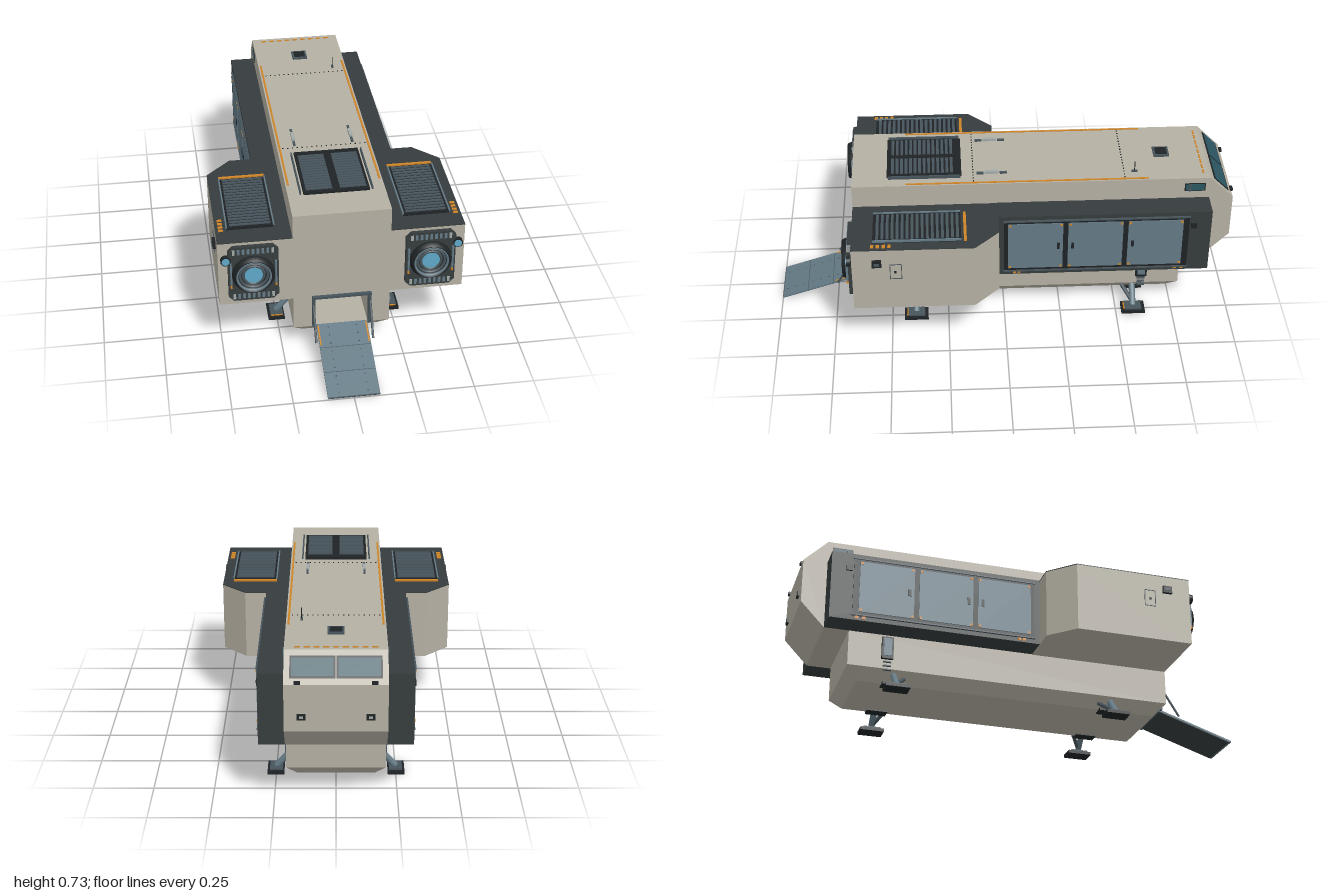
import * as THREE from 'three';

const mat = (name, color, side = THREE.FrontSide) => {
  const m = new THREE.MeshStandardMaterial({ color, side });
  m.name = name;
  return m;
};
const M = {
  hull: mat('warm grey hull', 0xb5b0a3),
  dark: mat('charcoal', 0x363c3d),
  black: mat('black metal', 0x1e2325, THREE.DoubleSide),
  slate: mat('slate blue metal', 0x647a85),
  steel: mat('dark steel', 0x47545b),
  pale: mat('pale metal', 0xa3aaa8),
  orange: mat('orange marking', 0xcf8426),
  glow: mat('blue glow', 0x5fa8c8),
  glass: mat('teal glass', 0x2c5762),
};
const V = (x, y, z) => new THREE.Vector3(x, y, z);

export function createModel() {
  const root = new THREE.Group();
  root.name = 'dropship';
  const add = (name, geo, m, parent = root) => {
    const mesh = new THREE.Mesh(geo, m);
    mesh.name = name;
    parent.add(mesh);
    return mesh;
  };
  const box = (name, m, w, h, d, x, y, z, parent) => {
    const mesh = add(name, new THREE.BoxGeometry(w, h, d), m, parent);
    mesh.position.set(x, y, z);
    return mesh;
  };
  const rod = (name, m, a, b, r, sides = 8) => {
    const mesh = add(name, new THREE.CylinderGeometry(r, r, a.distanceTo(b), sides), m);
    mesh.position.copy(a).lerp(b, 0.5);
    mesh.quaternion.setFromUnitVectors(V(0, 1, 0), b.clone().sub(a).normalize());
    return mesh;
  };
  const disc = (name, m, r, d, x, y, z, sides = 24) => {
    const geo = new THREE.CylinderGeometry(r, r, d, sides).rotateX(Math.PI / 2);
    add(name, geo, m).position.set(x, y, z);
  };
  const extrude = (pts, depth) => new THREE.ExtrudeGeometry(
    new THREE.Shape(pts.map(([x, y]) => new THREE.Vector2(x, y))), { depth, bevelEnabled: false });
  // Upright slab from a plan outline of [x, z] points
  const slab = (name, m, plan, y, h) =>
    add(name, extrude(plan.map(([x, z]) => [x, -z]), h).rotateX(-Math.PI / 2).translate(0, y, 0), m);

  // Upper hull with the bevelled nose, from its side outline
  const side = [[0.65, 0.267], [0.65, 0.675], [-0.887, 0.675], [-0.99, 0.572], [-0.99, 0.375], [-0.887, 0.267]];
  add('upperHull', extrude(side.map(([z, y]) => [-z, y]), 0.406).rotateY(Math.PI / 2).translate(-0.203, 0, 0), M.hull);

  // Lower hull with the doorway cut in the front, and the tapered belly
  slab('lowerHull', M.hull, [[-0.203, 0.65], [-0.203, -0.78], [0.203, -0.78], [0.203, 0.65],
    [0.112, 0.65], [0.112, 0.45], [-0.112, 0.45], [-0.112, 0.65]], 0.112, 0.156);
  const belly = new THREE.BoxGeometry(0.406, 0.05, 1.43);
  const p = belly.attributes.position;
  for (let i = 0; i < p.count; i++) {
    if (p.getY(i) < 0) p.setXYZ(i, p.getX(i) * 0.78, p.getY(i), p.getZ(i) * 0.93);
  }
  belly.computeVertexNormals();
  add('belly', belly, M.hull).position.set(0, 0.087, -0.065);

  // Doorway
  box('doorBackWall', M.dark, 0.222, 0.15, 0.006, 0, 0.19, 0.454);
  box('doorCeiling', M.dark, 0.222, 0.006, 0.2, 0, 0.262, 0.55);
  box('doorHeader', M.steel, 0.25, 0.01, 0.02, 0, 0.265, 0.655);
  for (const s of [1, -1]) box('doorPost', M.steel, 0.013, 0.15, 0.02, s * 0.118, 0.19, 0.655);

  // Ramp
  const ramp = new THREE.Group();
  ramp.name = 'ramp';
  ramp.position.set(0, 0.12, 0.652);
  ramp.rotation.x = Math.atan2(0.112, 0.346);
  root.add(ramp);
  for (let i = 0; i < 3; i++) {
    const z = 0.061 + i * 0.121;
    box('rampPanel', M.slate, 0.216, 0.008, 0.118, 0, 0, z, ramp);
    box('rampSeam', M.steel, 0.212, 0.006, 0.004, 0, 0, z + 0.0605, ramp);
    for (const s of [1, -1]) for (let k = -1; k < 2; k++)
      box('rampRivet', M.steel, 0.005, 0.002, 0.005, s * 0.06, 0.0045, z + k * 0.04, ramp);
  }
  box('rampUnderside', M.dark, 0.21, 0.003, 0.35, 0, -0.005, 0.182, ramp);
  box('rampMark', M.orange, 0.006, 0.003, 0.1, 0.102, 0.0045, 0.06, ramp);
  box('rampMark', M.orange, 0.006, 0.003, 0.1, -0.102, 0.0045, 0.06, ramp);

  for (const s of [1, -1]) {
    rod('rampStrut', M.steel, V(s * 0.12, 0.095, 0.745), V(s * 0.12, 0.235, 0.658), 0.005);

    // Landing legs
    for (const [z, lean] of [[0.393, -0.055], [-0.577, 0.05]]) {
      box('footPad', M.black, 0.07, 0.014, 0.105, s * 0.252, 0.008, z);
      box('footTop', M.steel, 0.055, 0.008, 0.075, s * 0.25, 0.018, z);
      box('footMark', M.orange, 0.05, 0.003, 0.006, s * 0.25, 0.0175, z + 0.04);
      rod('leg', M.slate, V(s * 0.25, 0.02, z), V(s * 0.165, 0.115, z), 0.014);
      rod('legBrace', M.steel, V(s * 0.24, 0.03, z), V(s * 0.17, 0.09, z + lean), 0.009);
      box('legMount', M.black, 0.05, 0.012, 0.09, s * 0.15, 0.062, z);
    }

    // Side cargo bay with three panels
    box('cargoBay', M.dark, 0.107, 0.308, 0.917, s * 0.2565, 0.421, -0.4275);
    box('bayFrame', M.black, 0.006, 0.26, 0.795, s * 0.311, 0.422, -0.393);
    for (let i = 0; i < 3; i++) {
      const z = -0.13 - i * 0.258;
      box('bayPanel', M.slate, 0.008, 0.235, 0.236, s * 0.314, 0.422, z);
      box('panelLatch', M.black, 0.006, 0.03, 0.012, s * 0.319, 0.422, z - 0.098 * (i ? -1 : 1));
      for (const a of [1, -1]) for (const b of [1, -1])
        box('panelCorner', M.orange, 0.004, 0.01, 0.01, s * 0.318, 0.422 + a * 0.11, z + b * 0.11);
    }
    for (const y of [0.553, 0.289]) box('bayRail', M.steel, 0.012, 0.006, 0.8, s * 0.313, y, -0.393);
    for (const z of [-0.04, -0.06, -0.74, -0.77]) box('bayMark', M.orange, 0.004, 0.012, 0.014, s * 0.311, 0.28, z);
    box('bayVent', M.black, 0.01, 0.025, 0.025, s * 0.312, 0.505, -0.81);

    // Engine pod
    const plan = [[0.2, 0.65], [0.51, 0.65], [0.51, 0.135], [0.405, 0.03], [0.2, 0.03]].map(([x, z]) => [s * x, z]);
    slab('enginePod', M.hull, plan, 0.265, 0.304);
    slab('podRoof', M.dark, plan, 0.569, 0.004);

    // Pod roof louvres
    const vx = s * 0.366;
    box('podVentBed', M.black, 0.196, 0.01, 0.37, vx, 0.577, 0.375);
    for (let i = 0; i < 17; i++) box('podLouvre', M.steel, 0.17, 0.006, 0.012, vx, 0.583, 0.205 + i * 0.021);
    for (const e of [1, -1]) box('podVentRail', M.slate, 0.006, 0.01, 0.37, vx + e * 0.097, 0.582, 0.375);
    box('podRoofMark', M.orange, 0.195, 0.008, 0.012, vx, 0.577, 0.173);
    for (let i = 0; i < 4; i++) box('podCornerMark', M.orange, 0.02, 0.004, 0.014, s * 0.488, 0.574, 0.49 + i * 0.024);

    // Pod side hatch and vent
    for (const z of [0.442, 0.49]) box('podHatchEdge', M.steel, 0.003, 0.075, 0.003, s * 0.511, 0.458, z);
    for (const y of [0.421, 0.495]) box('podHatchEdge', M.steel, 0.003, 0.003, 0.05, s * 0.511, y, 0.466);
    box('podHatchHandle', M.black, 0.005, 0.01, 0.01, s * 0.511, 0.455, 0.468);
    box('podSideVent', M.black, 0.016, 0.032, 0.04, s * 0.515, 0.505, 0.545);
    box('podSideVentCore', M.steel, 0.004, 0.014, 0.024, s * 0.524, 0.505, 0.545);

    // Engine plate, vents and nozzle
    const ex = s * 0.367, ey = 0.425;
    const w = 0.104, h = 0.132, c = 0.022;
    const plate = [[w, c - h], [w, h - c], [w - c, h], [c - w, h], [-w, h - c], [-w, c - h], [c - w, -h], [w - c, -h]];
    add('enginePlate', extrude(plate, 0.018), M.dark).position.set(ex, ey, 0.65);
    for (const e of [1, -1]) {
      for (let i = 0; i < 9; i++)
        box('engineSlot', i % 8 ? M.slate : M.pale, 0.011, 0.024, 0.006, ex + (i - 4) * 0.02, ey + e * 0.11, 0.668);
      box('engineBar', M.slate, 0.007, 0.12, 0.012, ex + e * 0.092, ey, 0.672);
      box('engineBarTip', M.orange, 0.008, 0.014, 0.013, ex + e * 0.092, ey - 0.055, 0.672);
    }
    const bell = [[0.088, 0], [0.088, 0.012], [0.079, 0.03], [0.074, 0.03], [0.058, 0.016], [0.046, 0.012], [0.034, 0.004]]
      .map(([r, y]) => new THREE.Vector2(r, y));
    add('nozzle', new THREE.LatheGeometry(bell, 32).rotateX(Math.PI / 2), M.black).position.set(ex, ey, 0.665);
    for (const [r, t, z, m] of [[0.07, 0.006, 0.689, M.slate], [0.057, 0.006, 0.683, M.steel], [0.043, 0.006, 0.678, M.steel]])
      add('nozzleRing', new THREE.TorusGeometry(r, t, 8, 32), m).position.set(ex, ey, z);
    disc('engineGlow', M.glow, 0.037, 0.01, ex, ey, 0.676, 32);
    disc('lampRim', M.black, 0.021, 0.018, s * 0.479, 0.495, 0.663);
    disc('lamp', M.glow, 0.016, 0.008, s * 0.479, 0.495, 0.671);

    // Roof stripe, handle, and lower side locker
    box('roofStripe', M.orange, 0.008, 0.004, 1.04, s * 0.192, 0.676, -0.1);
    box('roofHandle', M.pale, 0.014, 0.012, 0.06, s * 0.126, 0.684, 0.05);
    for (const z of [0, 0.1]) box('handleFoot', M.steel, 0.009, 0.01, 0.03, s * 0.126, 0.679, z);
    box('sideLocker', M.black, 0.016, 0.1, 0.05, s * 0.208, 0.205, -0.612);
    box('lockerDoor', M.slate, 0.004, 0.08, 0.034, s * 0.217, 0.208, -0.612);
    for (let i = 0; i < 3; i++) box('ladderRung', M.steel, 0.012, 0.005, 0.034, s * 0.207, 0.142 - i * 0.018, -0.612);

    // Nose windows and tail lamps
    box('sideWindowFrame', M.black, 0.004, 0.04, 0.09, s * 0.203, 0.63, -0.822);
    box('sideWindow', M.glass, 0.004, 0.032, 0.08, s * 0.205, 0.63, -0.822);
    box('sideBracket', M.steel, 0.008, 0.035, 0.01, s * 0.206, 0.63, -0.8);
    box('noseLamp', M.black, 0.034, 0.024, 0.012, s * 0.135, 0.437, -0.993);
    box('noseLampLens', M.pale, 0.016, 0.01, 0.004, s * 0.135, 0.437, -0.998);
    for (const [m, ww, l, off] of [[M.black, 0.178, 0.094, 0], [M.glass, 0.164, 0.076, 0.002]]) {
      const pane = box('noseWindow', m, ww, 0.005, l, s * 0.091, 0.6235 + off, -0.9385 - off);
      pane.rotation.x = -Math.PI / 4;
    }
    box('windowHinge', M.black, 0.024, 0.012, 0.012, s * 0.15, 0.58, -0.99);
  }

  // Main roof vent in two banks
  box('roofVentBed', M.black, 0.276, 0.01, 0.32, 0, 0.68, 0.34);
  for (const s of [1, -1]) {
    for (let i = 0; i < 14; i++) box('roofLouvre', M.steel, 0.11, 0.006, 0.012, s * 0.071, 0.687, 0.222 + i * 0.0195);
    box('roofVentRail', M.steel, 0.006, 0.014, 0.31, s * 0.15, 0.682, 0.34);
  }

  // Roof hatch, dashes, seams and antenna
  box('roofHatch', M.steel, 0.068, 0.01, 0.068, 0, 0.679, -0.695);
  box('roofHatchGrille', M.black, 0.05, 0.004, 0.05, 0, 0.684, -0.695);
  for (let i = 0; i < 9; i++) box('roofDash', M.orange, 0.024, 0.004, 0.007, (i - 4) * 0.038, 0.676, -0.86);
  for (const z of [0.13, -0.52]) for (let i = 0; i < 18; i++)
    box('roofRivet', M.black, 0.005, 0.003, 0.005, (i - 8.5) * 0.021, 0.676, z);
  rod('antenna', M.black, V(0.14, 0.674, -0.565), V(0.14, 0.727, -0.565), 0.002, 6);
  box('antennaBase', M.steel, 0.01, 0.008, 0.025, 0.14, 0.678, -0.565);

  return root;
}
